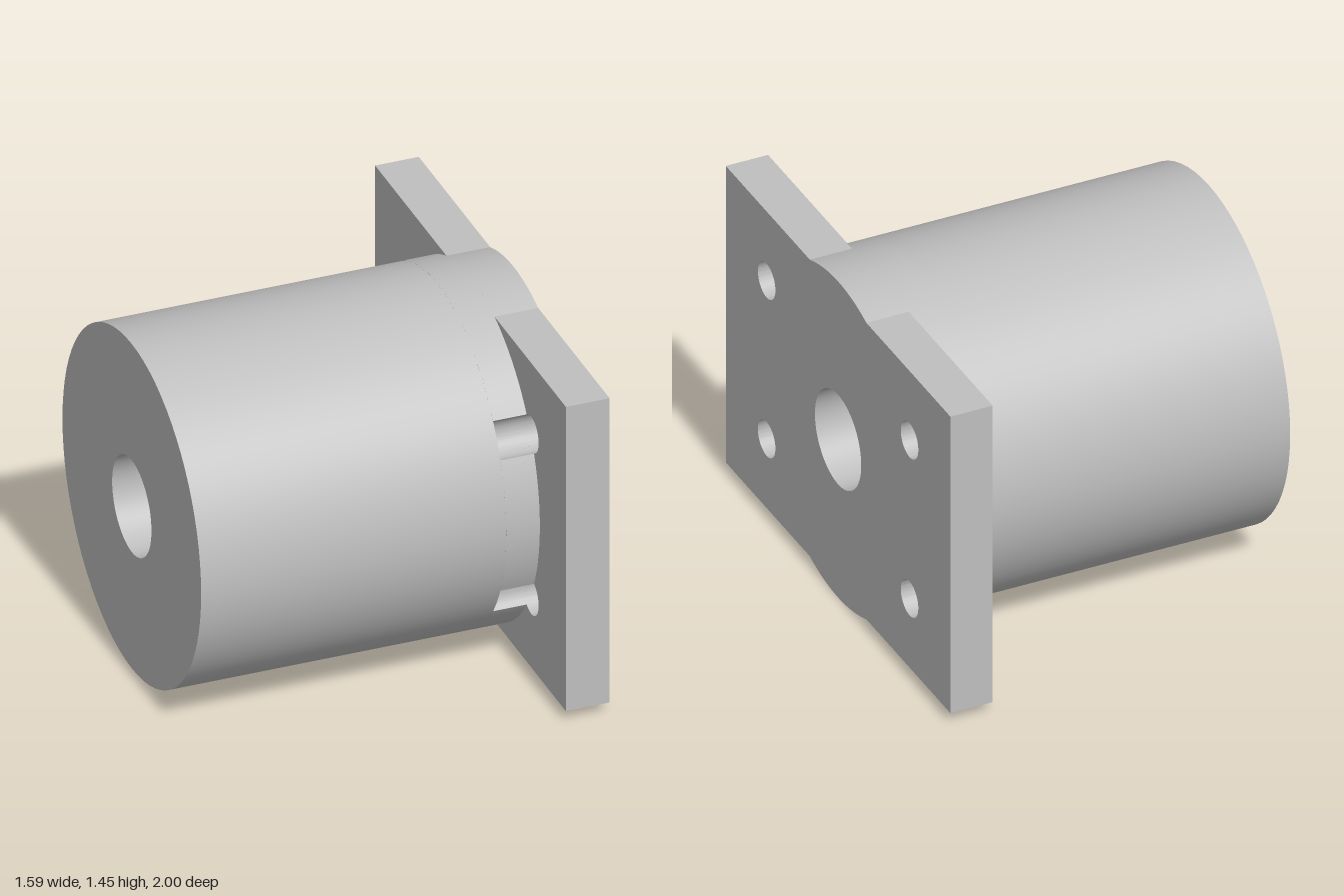
import * as THREE from 'three';
import { toCreasedNormals } from 'three/addons/utils/BufferGeometryUtils.js';

const R = 0.727;                      // body radius
const BORE = 0.206;                   // centre bore radius
const HOLE = 0.078;                   // bolt hole radius
const HX = 0.636, HY = 0.364;         // bolt hole offsets from the axis
const HALF = 0.682;                   // half height of the flange plate
const X0 = -0.797, X1 = 0.475, X2 = 0.615, X3 = 0.797;

const circle = (x, y, r) => new THREE.Path().absarc(x, y, r, 0, Math.PI * 2, false);

// Plain round section
function bodyShape() {
  return new THREE.Shape().absarc(0, 0, R, 0, Math.PI * 2, false);
}

// Round section with four bites where the bolt holes run into the body
function notchedShape() {
  const s = new THREE.Shape();
  const d = Math.hypot(HX, HY), t = Math.atan2(HY, HX);
  const a = Math.acos((R * R + d * d - HOLE * HOLE) / (2 * R * d));
  const b = Math.acos((d * d + HOLE * HOLE - R * R) / (2 * d * HOLE));
  const angles = [t, Math.PI - t, Math.PI + t, 2 * Math.PI - t];
  angles.forEach((q, i) => {
    const next = i < 3 ? angles[i + 1] : t + 2 * Math.PI;
    s.absarc(d * Math.cos(q), d * Math.sin(q), HOLE, q + Math.PI + b, q + Math.PI - b, true);
    s.absarc(0, 0, R, q + a, next - a, false);
  });
  return s;
}

// Rectangular plate with the body bulging out above and below
function flangeShape() {
  const s = new THREE.Shape();
  const al = Math.asin(HALF / R);
  s.moveTo(1, -HALF).lineTo(1, HALF);
  s.absarc(0, 0, R, al, Math.PI - al, false);
  s.lineTo(-1, HALF).lineTo(-1, -HALF);
  s.absarc(0, 0, R, Math.PI + al, 2 * Math.PI - al, false);
  for (const x of [-HX, HX]) for (const y of [-HY, HY]) s.holes.push(circle(x, y, HOLE));
  return s;
}

export function createModel() {
  const group = new THREE.Group();
  group.name = 'flangedNut';
  const metal = new THREE.MeshStandardMaterial({ color: 0xbfbfbf });
  metal.name = 'greyMetal';

  // Extrude a bored section along x
  const addSection = (name, shape, from, to) => {
    shape.holes.push(circle(0, 0, BORE));
    const geo = new THREE.ExtrudeGeometry(shape, { depth: to - from, bevelEnabled: false, curveSegments: 36 });
    geo.rotateY(Math.PI / 2).translate(from, R, 0);
    const mesh = new THREE.Mesh(toCreasedNormals(geo, 0.3), metal);
    mesh.name = name;
    group.add(mesh);
  };

  addSection('body', bodyShape(), X0, X1);
  addSection('notchedBody', notchedShape(), X1, X2);
  addSection('flange', flangeShape(), X2, X3);
  return group;
}
